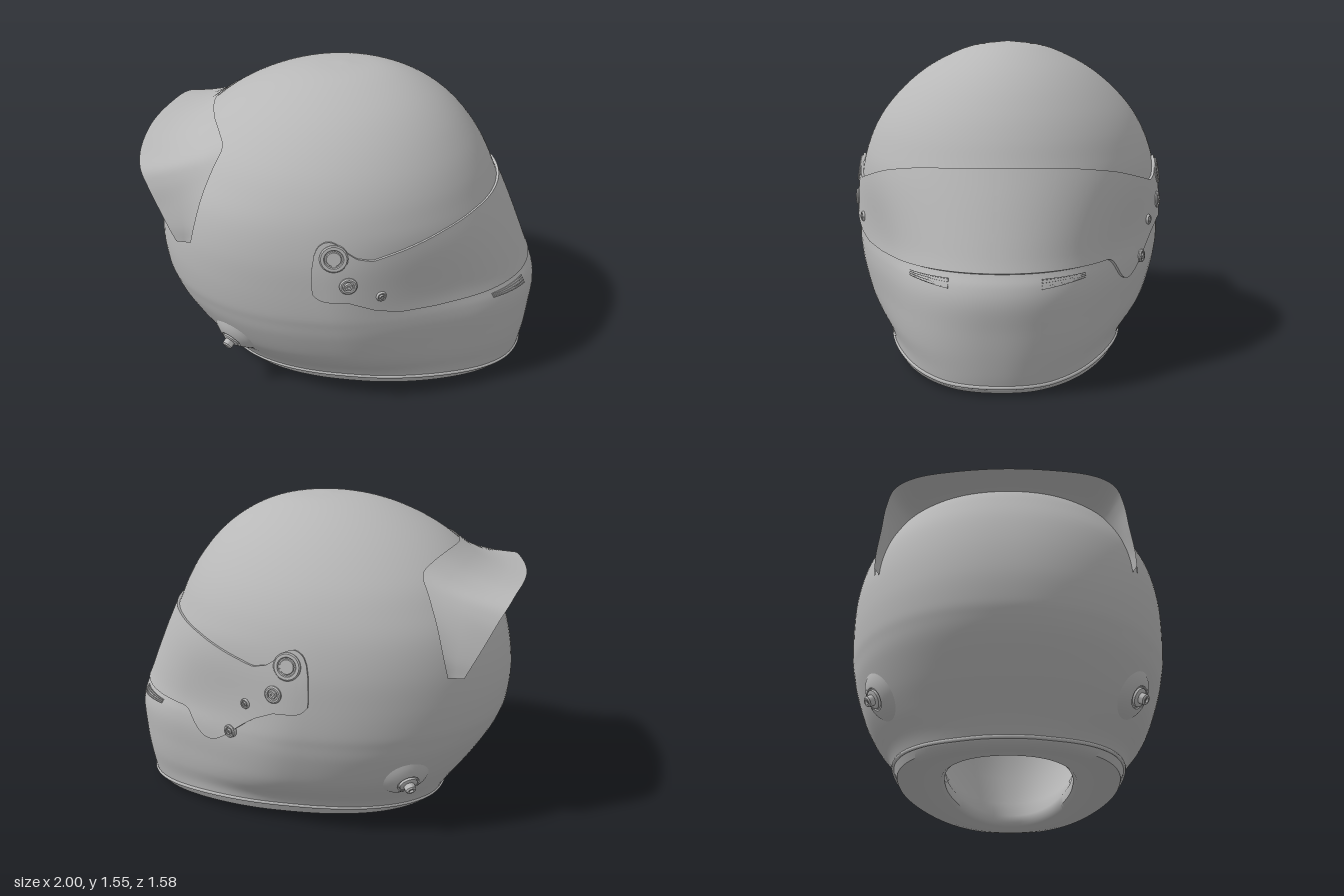
import * as THREE from 'three';
import { mergeVertices, toCreasedNormals } from 'three/addons/utils/BufferGeometryUtils.js';

const V = (x, y, z) => new THREE.Vector3(x, y, z);
const { lerp, clamp, smoothstep } = THREE.MathUtils;

// Shell levels: height, back x, front x, half width, x of the widest point, front roundness
const LEVELS = [
  [0.03, -0.63, 0.95, 0.57, 0.1, 2.15], [0.1, -0.67, 0.965, 0.598, 0.06, 2.2],
  [0.2, -0.74, 0.98, 0.66, 0.02, 2.25], [0.3, -0.81, 0.99, 0.71, -0.02, 2.25],
  [0.42, -0.885, 1.0, 0.75, -0.05, 2.17], [0.5, -0.922, 0.985, 0.767, -0.06, 2.12],
  [0.57, -0.942, 0.947, 0.777, -0.07, 2.08], [0.7, -0.953, 0.895, 0.779, -0.09, 2.05],
  [0.85, -0.937, 0.833, 0.772, -0.1, 2], [1.0, -0.895, 0.765, 0.742, -0.1, 2],
  [1.12, -0.835, 0.712, 0.694, -0.08, 2], [1.23, -0.76, 0.647, 0.625, -0.07, 2],
  [1.34, -0.64, 0.557, 0.522, -0.05, 2], [1.43, -0.5, 0.45, 0.405, -0.03, 2],
  [1.5, -0.34, 0.322, 0.272, -0.02, 2], [1.54, -0.18, 0.185, 0.148, 0, 2],
  [1.555, 0, 0, 0, 0, 2],
];
const spline = (pts) => new THREE.CatmullRomCurve3(pts, false, 'catmullrom', 0.5);
const extents = spline(LEVELS.map((l) => V(l[1], l[2], l[3])));
const plan = spline(LEVELS.map((l) => V(l[0], l[4], l[5])));

// Halve an interval until a rising function reaches its target
function solve(f, target, lo, hi) {
  for (let i = 0; i < 36; i++) {
    const m = (lo + hi) / 2;
    if (f(m) < target) lo = m; else hi = m;
  }
  return (lo + hi) / 2;
}

// Arch of the lower edge, fading out upwards
const arch = (x, y) => 0.05 * Math.max(0, 1 - ((x - 0.15) / 0.75) ** 2) * (1 - smoothstep(y, 0.03, 0.3));
// Narrowing of the cheeks towards a blunt chin
const pinch = (y) => 0.15 * smoothstep(y, -0.1, 0.35) * (1 - smoothstep(y, 0.55, 1));
// Roundness of the back, fuller low down
const backPower = (y) => 2 + 0.18 * (1 - smoothstep(y, 0.9, 1.5));

// Shell point at level t and angle a (0 is the face, +90 degrees is +z)
function shellAt(t, a) {
  const e = extents.getPoint(t), p = plan.getPoint(t);
  const c = Math.cos(a), s = Math.sin(a), k = 2 / (c > 0 ? p.z : backPower(p.x));
  const along = Math.sign(c) * Math.abs(c) ** k;
  const x = p.y + along * (c > 0 ? e.y - p.y : p.y - e.x);
  const waist = 1 - pinch(p.x) * smoothstep(along, 0.1, 0.7);
  return V(x, p.x + arch(x, p.x), e.z * waist * Math.sign(s) * Math.abs(s) ** k);
}
const shell = (y, a) => shellAt(solve((t) => plan.getPoint(t).x, y, 0, 1), a);
const angleAt = (x, y) => solve((a) => -shell(y, a).x, -x, 0, Math.PI);
function shellNormal(y, a) {
  const d = 0.01;
  const up = shell(y + d, a).sub(shell(y - d, a)), round = shell(y, a + d).sub(shell(y, a - d));
  return up.cross(round).normalize();
}

// Surface from a rule over a grid
function grid(nu, nv, fn, crease = 0.7) {
  const pos = [], idx = [];
  for (let j = 0; j <= nv; j++) for (let i = 0; i <= nu; i++) pos.push(...fn(i, j).toArray());
  for (let j = 0; j < nv; j++) for (let i = 0; i < nu; i++) {
    const a = j * (nu + 1) + i, b = a + nu + 1;
    idx.push(a, b, a + 1, a + 1, b, b + 1);
  }
  const g = new THREE.BufferGeometry();
  g.setAttribute('position', new THREE.Float32BufferAttribute(pos, 3));
  g.setIndex(idx);
  return toCreasedNormals(mergeVertices(g, 1e-5), crease);
}

// Raised plate that follows the shell, with its border folded down onto it
function plate(a0, a1, low, high, off, nu, nv) {
  return grid(nu, nv, (i, j) => {
    const edge = i === 0 || j === 0 || i === nu || j === nv;
    const u = clamp((i - 1) / (nu - 2), 0, 1), v = clamp((j - 1) / (nv - 2), 0, 1);
    const a = lerp(a0, a1, u);
    const y = lerp(low(a, u), high(a, u), v);
    return shell(y, a).addScaledVector(shellNormal(y, a), edge ? -0.004 : off);
  }, 0.6);
}

function interp(pts, x) {
  if (x <= pts[0][0]) return pts[0][1];
  for (let i = 1; i < pts.length; i++) {
    const [x0, y0] = pts[i - 1], [x1, y1] = pts[i];
    if (x <= x1) return lerp(y0, y1, (x - x0) / (x1 - x0));
  }
  return pts[pts.length - 1][1];
}

export function createModel() {
  const model = new THREE.Group();
  const grey = new THREE.MeshStandardMaterial({ color: 0xb8b8b8, side: THREE.DoubleSide });
  grey.name = 'plain grey';
  const add = (name, geo, parent = model) => {
    const m = new THREE.Mesh(geo, grey);
    m.name = name;
    parent.add(m);
  };

  // Outer shell
  const N = 128, M = 96, turn = (i) => ((i % N) / N) * Math.PI * 2;
  add('shell', grid(N, M, (i, j) => shellAt(j / M, turn(i)), 1.2));

  // Hollow lining and thick cheek padding: length scale, width scale, height, from crown to rim
  const lining = [[0, 0, 1.38], [0.2, 0.2, 1.36], [0.38, 0.45, 1.27], [0.6, 0.75, 1.05], [0.76, 0.92, 0.8],
    [0.83, 0.92, 0.55], [0.81, 0.76, 0.3], [0.78, 0.62, 0.13], [0.76, 0.56, 0.05], [0.765, 0.565, 0.018],
    [0.79, 0.6, 0.002], [0.92, 0.9, 0], [0.975, 0.975, 0.01], [1, 1, 0.03]];
  add('lining', grid(N, lining.length - 1, (i, j) => {
    const [kx, kz, y] = lining[j], p = shellAt(0, turn(i));
    const x = 0.16 + (p.x - 0.16) * kx;
    return V(x, y + arch(x, y) * (y < 0.02 ? 0.7 : 1), p.z * kz);
  }, 0.8));

  // Edge trim bead
  const rim = [];
  for (let i = 0; i < 64; i++) rim.push(shellAt(0.012, (i / 64) * Math.PI * 2));
  add('edgeTrim', new THREE.TubeGeometry(new THREE.CatmullRomCurve3(rim, true), 160, 0.009, 8, true));

  // Visor with round pivot ends and a latch tab on the right
  const top = [[-0.05, 0.74], [-0.035, 0.87], [-0.02, 0.925], [0, 0.952], [0.03, 0.97], [0.06, 0.972], [0.09, 0.96],
    [0.13, 0.925], [0.18, 0.888], [0.25, 0.872], [0.4, 0.905], [0.6, 0.953], [0.76, 0.982], [0.88, 0.993]];
  const bottom = [[-0.05, 0.71], [-0.03, 0.682], [0, 0.67], [0.1, 0.662], [0.15, 0.635], [0.2, 0.605], [0.3, 0.57],
    [0.45, 0.557], [0.88, 0.557]];
  const side = angleAt(-0.05, 0.75);
  const xOf = (a) => shell(0.75, a).x;
  const tab = (a) => {
    const d = Math.abs(xOf(a) - 0.37) / 0.2;
    return a < 0 && d < 1 ? 0.063 * (1 + Math.cos(Math.PI * d)) : 0;
  };
  add('visor', plate(-side, side, (a) => interp(bottom, xOf(a)) - tab(a), (a) => interp(top, xOf(a)), 0.013, 240, 16));

  // Fittings stand along the shell normal
  const fitting = (name, x, y, s) => {
    const g = new THREE.Group(), a = s * angleAt(x, y), n = shellNormal(y, a);
    g.name = name;
    g.position.copy(shell(y, a));
    g.quaternion.setFromUnitVectors(V(0, 1, 0), n);
    model.add(g);
    return g;
  };
  const lathe = (pts) => toCreasedNormals(new THREE.LatheGeometry(pts.map((p) => new THREE.Vector2(...p)), 32), 0.6);
  const screw = (name, x, y, s, r) => add('screwHead', lathe([[r, 0], [r, 0.018], [r * 0.85, 0.024], [r * 0.65, 0.024],
    [r * 0.6, 0.016], [r * 0.45, 0.016], [r * 0.4, 0.028], [r * 0.2, 0.028], [r * 0.15, 0.02], [0, 0.02]]), fitting(name, x, y, s));

  for (const s of [1, -1]) {
    const pivot = fitting('visorPivot', 0.05, 0.895, s);
    add('pivotRing', lathe([[0.066, 0], [0.066, 0.016], [0.06, 0.021], [0.046, 0.021], [0.042, 0.015], [0.036, 0.015],
      [0.033, 0.02], [0, 0.02]]), pivot);
    screw('visorScrew', 0.115, 0.757, s, 0.042);
    screw('visorStud', 0.26, 0.68, s, 0.025);

    // Flared anchor with a bolt, low at the rear
    const anchor = fitting('rearAnchor', -0.485, 0.29, s);
    add('anchorFlare', lathe([[0.13, -0.02], [0.105, 0.002], [0.085, 0.012], [0.066, 0.022], [0.056, 0.024], [0.052, 0.018], [0, 0.018]]), anchor);
    add('anchorBolt', lathe([[0.045, 0.015], [0.045, 0.03], [0.036, 0.035], [0.026, 0.035], [0.026, 0.06], [0.02, 0.067],
      [0.012, 0.067], [0.01, 0.057], [0, 0.057]]), anchor);

    // Chin vent: tapered frame with slats
    const a0 = s * angleAt(0.935, 0.515), a1 = s * angleAt(0.79, 0.515);
    const low = (a, u) => 0.49 + 0.02 * u, high = () => 0.532;
    add('ventPanel', plate(a0, a1, low, high, 0.002, 24, 4));
    for (const f of [0, 0.31, 0.62, 0.9]) {
      const at = (a, u, k) => lerp(low(a, u), high(), k);
      add('ventSlat', plate(a0, a1, (a, u) => at(a, u, f), (a, u) => at(a, u, f + 0.1), 0.006, 24, 4));
    }
  }
  screw('latchScrew', 0.35, 0.515, -1, 0.032);

  // Rear spoiler: blade between a line on the shell and a free trailing edge
  const roots = [[-0.655, 1.325], [-0.61, 1.325], [-0.55, 1.3], [-0.515, 1.262], [-0.55, 1.18], [-0.595, 1.06], [-0.63, 0.93], [-0.655, 0.83]];
  const tips = [[-1, 1.19, 0], [-0.985, 1.19, 0.2], [-0.95, 1.185, 0.39], [-0.915, 1.15, 0.5], [-0.87, 1.08, 0.545],
    [-0.82, 0.985, 0.57], [-0.77, 0.895, 0.595], [-0.735, 0.83, 0.605]];
  const rootPts = roots.map(([x, y], i) => (i ? shell(y, angleAt(x, y)) : V(x, y, 0)));
  const tipPts = tips.map((p) => V(...p));
  const mirrored = (pts) => spline([...pts.slice(1).reverse().map((p) => V(p.x, p.y, -p.z)), ...pts]);
  const rootLine = mirrored(rootPts), tipLine = mirrored(tipPts);
  const section = [[0, 1.01], [0.25, 1], [0.5, 1], [0.75, 1], [1, 1], [0.75, 0.98], [0.5, 0.97], [0.25, 0.96], [0, 0.95]];
  add('rearSpoiler', grid(84, section.length - 1, (i, j) => {
    const [v, k] = section[j], t = i / 84;
    const p = rootLine.getPoint(t).lerp(tipLine.getPoint(t), v);
    p.y -= 0.11 * v * (1 - v) * (1 - smoothstep(Math.abs(2 * t - 1), 0.25, 0.6));
    return V(p.x * k, 0.7 + (p.y - 0.7) * k, p.z * k);
  }, 0.8));

  return model;
}
